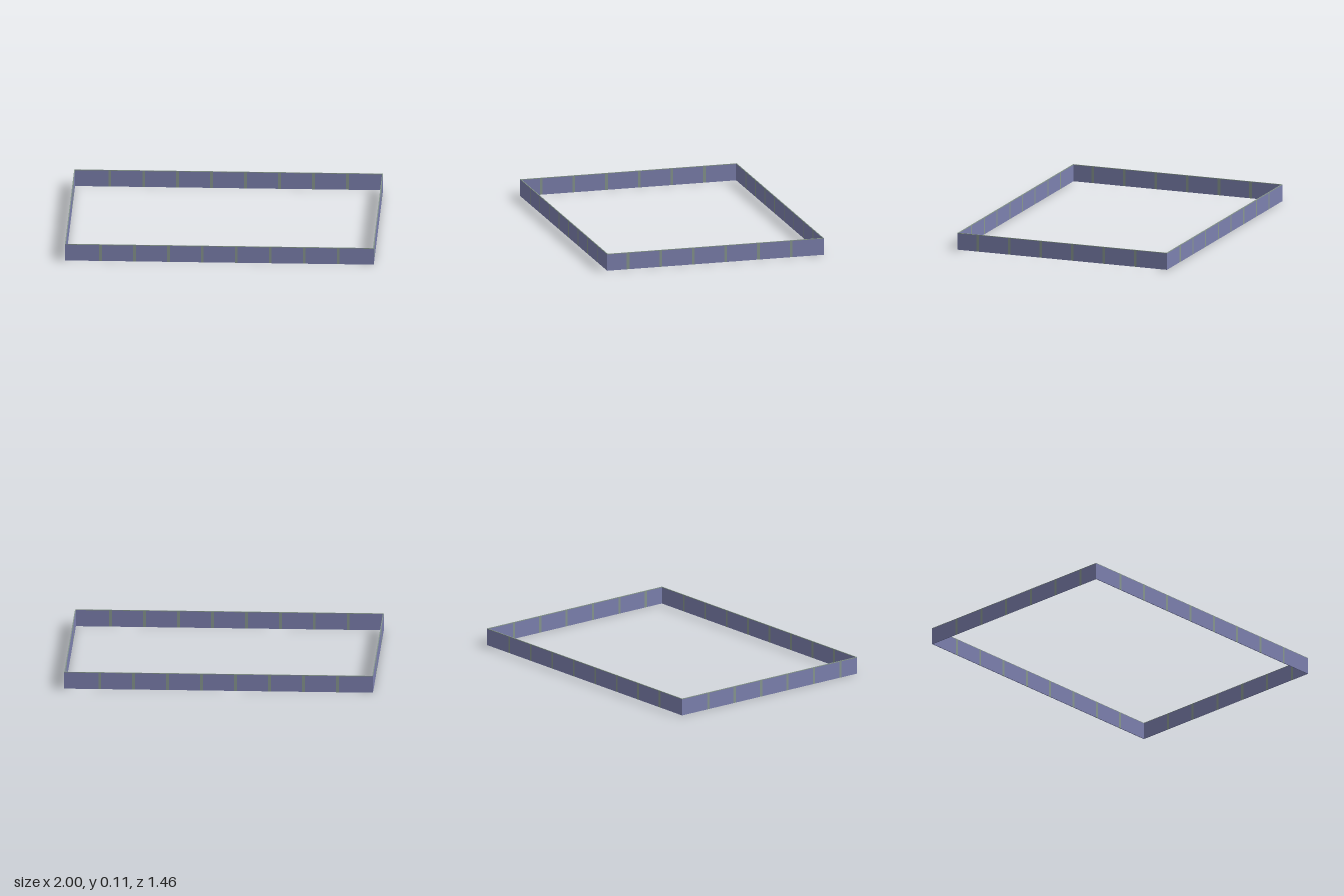
import * as THREE from 'three';

const HX = 0.997, HZ = 0.727;          // wall centre lines
const H = 0.112, THICK = 0.006, POST = 0.018;

const panelMat = new THREE.MeshStandardMaterial({ color: 0x7c80ae });
const postMat = new THREE.MeshStandardMaterial({ color: 0x87968f });

function box(name, w, h, d, x, y, z, mat) {
  const mesh = new THREE.Mesh(new THREE.BoxGeometry(w, h, d), mat);
  mesh.name = name;
  mesh.position.set(x, y, z);
  return mesh;
}

// A straight run of panels along local x, with a post at every joint
function wall(name, half, joints) {
  const g = new THREE.Group();
  g.name = name;
  const marks = [-half, ...joints, half];
  for (let i = 0; i < marks.length - 1; i++) {
    const a = marks[i] + (i > 0 ? POST / 2 : 0);
    const b = marks[i + 1] - (i < marks.length - 2 ? POST / 2 : 0);
    g.add(box('panel', b - a, H - 0.004, THICK, (a + b) / 2, (H - 0.004) / 2, 0, panelMat));
  }
  joints.forEach(x => g.add(box('post', POST, H - 0.004, THICK, x, (H - 0.004) / 2, 0, postMat)));
  // thin cap along the top edge
  g.add(box('topRail', half * 2, 0.004, THICK, 0, H - 0.002, 0, postMat));
  return g;
}

export function createModel() {
  const model = new THREE.Group();
  model.name = 'panelFence';

  // Long walls: eight evenly spaced joints
  const longJoints = Array.from({ length: 8 }, (_, i) => -0.77 + i * 0.22);
  // Short walls: joints measured from the back corner
  const shortJoints = Array.from({ length: 6 }, (_, i) => -0.51 + i * 0.22);

  for (const s of [1, -1]) {
    const long = wall(s > 0 ? 'frontWall' : 'backWall', HX + THICK / 2, longJoints);
    long.position.z = s * HZ;
    model.add(long);

    const side = wall(s > 0 ? 'leftWall' : 'rightWall', HZ - THICK / 2, shortJoints);
    side.rotation.y = -Math.PI / 2;    // local +x becomes +z
    side.position.x = s * HX;
    model.add(side);
  }
  return model;
}
